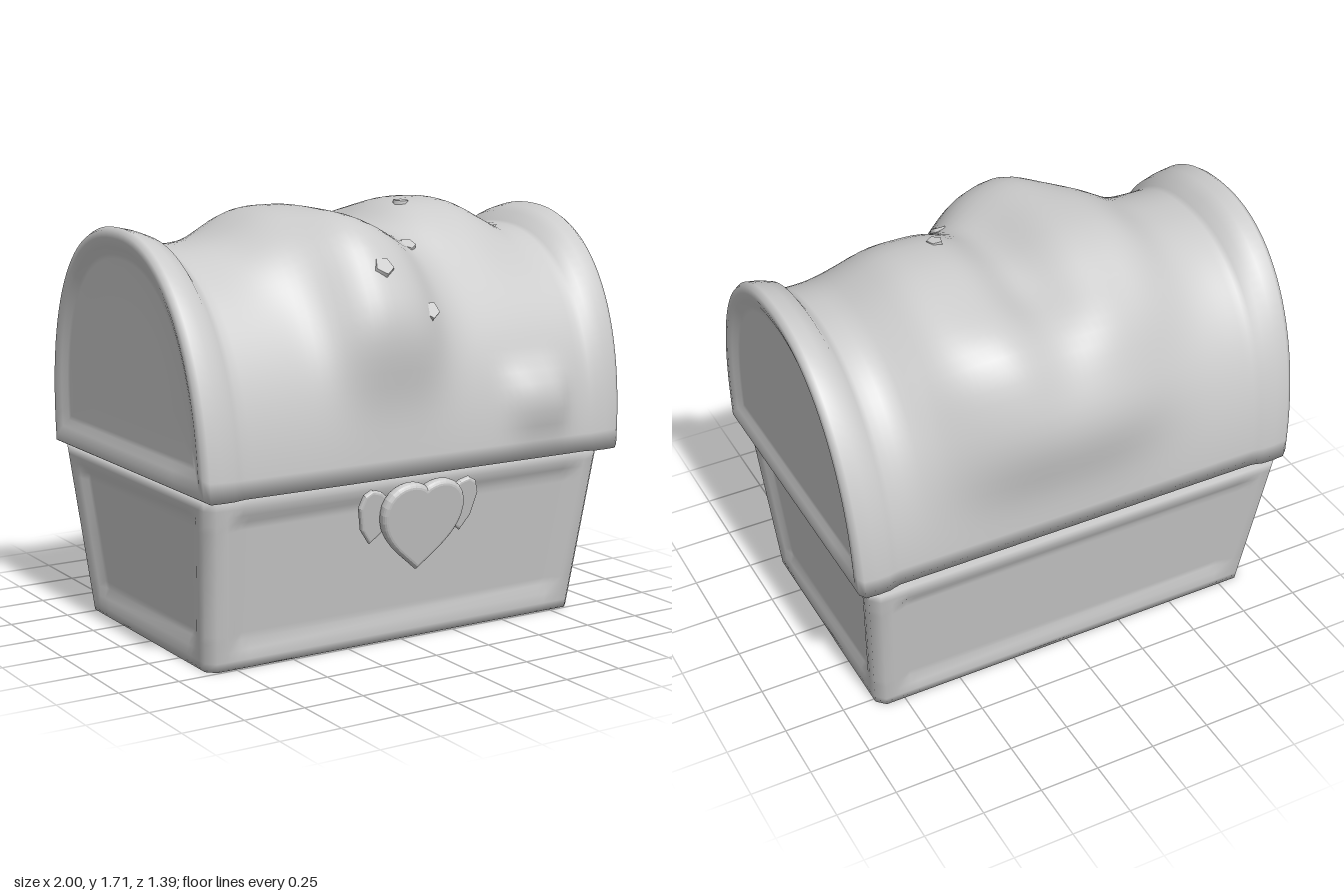
import * as THREE from 'three';

const mat = new THREE.MeshStandardMaterial({ color: 0xcccccc, roughness: 0.8 });

function addMesh(parent, name, geometry) {
  const mesh = new THREE.Mesh(geometry, mat);
  mesh.name = name;
  parent.add(mesh);
  return mesh;
}

// Smooth skin over closed rings of equal point count, capped at both ends
function loft(rings) {
  const n = rings[0].length, pos = [], idx = [];
  rings.forEach(r => r.forEach(p => pos.push(p.x, p.y, p.z)));
  for (let i = 0; i < rings.length - 1; i++) {
    for (let j = 0; j < n; j++) {
      const a = i * n + j, b = i * n + (j + 1) % n, c = a + n, d = b + n;
      idx.push(a, c, b, c, d, b);
    }
  }
  [0, rings.length - 1].forEach((i, end) => {
    const m = new THREE.Vector3();
    rings[i].forEach(p => m.addScaledVector(p, 1 / n));
    const c = pos.length / 3;
    pos.push(m.x, m.y, m.z);
    for (let j = 0; j < n; j++) {
      const a = i * n + j, b = i * n + (j + 1) % n;
      if (end) idx.push(c, b, a); else idx.push(c, a, b);
    }
  });
  const g = new THREE.BufferGeometry();
  g.setAttribute('position', new THREE.Float32BufferAttribute(pos, 3));
  g.setIndex(idx);
  g.computeVertexNormals();
  return g;
}

// Tapered box with rounded edges and a shallow panel sunk into each side
function baseGeometry() {
  const levels = [[0.005, 0], [0.04, 0], [0.08, 0.3], [0.12, 1], [0.15, 1], [0.35, 1],
    [0.57, 1], [0.6, 1], [0.63, 0.3], [0.66, 0], [0.7, 0]];
  const steps = [[0.035, 0], [0.08, 0], [0.11, 0.3], [0.15, 1], [0.18, 1]];
  return loft(levels.map(([y, sunk]) => {
    const k = y / 0.7, hx = 0.865 + 0.055 * k;
    const front = 0.49 + 0.11 * k, back = -0.55 - 0.12 * k, ring = [];
    const corners = [[hx, front], [-hx, front], [-hx, back], [hx, back]];
    corners.forEach(([x0, z0], i) => {
      const [x1, z1] = corners[(i + 1) % 4];
      const len = Math.hypot(x1 - x0, z1 - z0), dx = (x1 - x0) / len, dz = (z1 - z0) / len;
      const put = (t, s) => {
        const r = 0.02 * s * sunk;
        ring.push(new THREE.Vector3(x0 + dx * t - dz * r, y, z0 + dz * t + dx * r));
      };
      steps.forEach(([t, s]) => put(t, s));
      steps.slice().reverse().forEach(([t, s]) => put(len - t, s));
    });
    return ring;
  }));
}

// Swellings of the lid: x, angle from the top (front positive), widths, height
const swellings = [
  [-0.28, 0, 0.21, 28, 0.13],
  [0.38, -12, 0.21, 30, 0.135],
  [0.08, -50, 0.38, 18, 0.14],
  [-0.12, 42, 0.19, 20, 0.155],
  [0.6, 76, 0.13, 6, 0.05],
];
function swell(x, deg) {
  let h = 0;
  for (const [cx, ca, wx, wa, amp] of swellings) {
    h += amp * Math.exp(-0.5 * (Math.abs((x - cx) / wx) ** 3 + Math.abs((deg - ca) / wa) ** 3));
  }
  return h * (1 - THREE.MathUtils.smoothstep(Math.abs(x), 0.65, 0.8));
}

// Point on the full-shouldered arch: inset from the side, the base and the top
function archPoint(x, deg, side, low, top) {
  const s = THREE.MathUtils.degToRad(deg), a = 0.665 - side, y0 = 0.71 + low, b = 1.67 - top - y0;
  const bend = v => Math.sign(v) * Math.abs(v) ** (2 / 2.25);
  const c = Math.max(0, Math.cos(s));
  const p = new THREE.Vector3(x, y0 + b * bend(c), a * bend(Math.sin(s)));
  const normal = new THREE.Vector3(0, c / b, Math.sin(s) / a).normalize();
  p.addScaledVector(normal, swell(x, deg));
  p.x *= 0.965 + 0.035 * (p.y - 0.71) / 0.96;
  return { p, normal };
}

const body = [0.015, 0, 0.085];
function lidGeometry() {
  // End profile: recessed panel, rounded rim, then step down to the body
  const end = [
    [0.975, 0.3, 0.3, 0.3], [0.975, 0.135, 0.13, 0.13], [0.977, 0.115, 0.11, 0.11],
    [0.99, 0.08, 0.08, 0.08], [1, 0.05, 0.045, 0.045], [0.997, 0.02, 0.012, 0.018],
    [0.975, 0.004, 0, 0.005], [0.92, 0, 0, 0.018], [0.87, 0.002, 0, 0.038], [0.845, 0.01, 0, 0.078],
  ];
  const stations = end.map(([x, ...d]) => [-x, ...d]);
  for (let i = 0; i <= 48; i++) stations.push([-0.82 + 1.64 * i / 48, ...body]);
  stations.push(...end.slice().reverse());
  return loft(stations.map(([x, ...inset]) => {
    const ring = [];
    for (let j = 0; j <= 52; j++) ring.push(archPoint(x, 90 - 180 * j / 52, ...inset).p);
    const a = ring[52], b = ring[0];
    for (let j = 1; j < 6; j++) ring.push(a.clone().lerp(b, j / 6));
    return ring;
  }));
}

function heartShape() {
  const s = new THREE.Shape();
  s.moveTo(0, -0.165);
  s.bezierCurveTo(0.06, -0.11, 0.17, -0.04, 0.17, 0.065);
  s.bezierCurveTo(0.17, 0.17, 0.05, 0.19, 0, 0.14);
  s.bezierCurveTo(-0.05, 0.19, -0.17, 0.17, -0.17, 0.065);
  s.bezierCurveTo(-0.17, -0.04, -0.06, -0.11, 0, -0.165);
  return s;
}

function wingShape(side) {
  const pts = [[0.13, 0.02], [0.21, -0.05], [0.245, 0], [0.265, 0.09], [0.25, 0.135], [0.225, 0.15], [0.19, 0.14], [0.13, 0.09]];
  return new THREE.Shape(pts.map(([x, y]) => new THREE.Vector2(x * side, y)));
}

export function createModel() {
  const model = new THREE.Group();
  model.name = 'chest';
  addMesh(model, 'base', baseGeometry());
  addMesh(model, 'lid', lidGeometry());

  // Small flat chips lying almost flush with the swollen lid
  [[-0.14, 40, 0.045], [0.06, 51, 0.04], [0.13, 25, 0.036], [0.28, 3, 0.035]].forEach(([x, deg, r]) => {
    const { p, normal } = archPoint(x, deg, ...body);
    const chip = addMesh(model, 'chip', new THREE.CylinderGeometry(r * 0.9, r, 0.016, 5));
    chip.position.copy(p);
    chip.quaternion.setFromUnitVectors(new THREE.Vector3(0, 1, 0), normal);
  });

  // Heart clasp with two wings, leaning with the front wall
  const clasp = new THREE.Group();
  clasp.name = 'clasp';
  clasp.position.set(0, 0.507, 0.625);
  clasp.rotation.x = 0.21;
  addMesh(clasp, 'heart', new THREE.ExtrudeGeometry(heartShape(), {
    depth: 0.006, bevelThickness: 0.022, bevelSize: 0.02, bevelSegments: 4, curveSegments: 10,
  }));
  for (const side of [1, -1]) {
    const wing = addMesh(clasp, side > 0 ? 'leftWing' : 'rightWing', new THREE.ExtrudeGeometry(wingShape(side), {
      depth: 0.006, bevelThickness: 0.01, bevelSize: 0.012, bevelSegments: 3,
    }));
    wing.position.z = -0.03;
  }
  model.add(clasp);
  return model;
}
